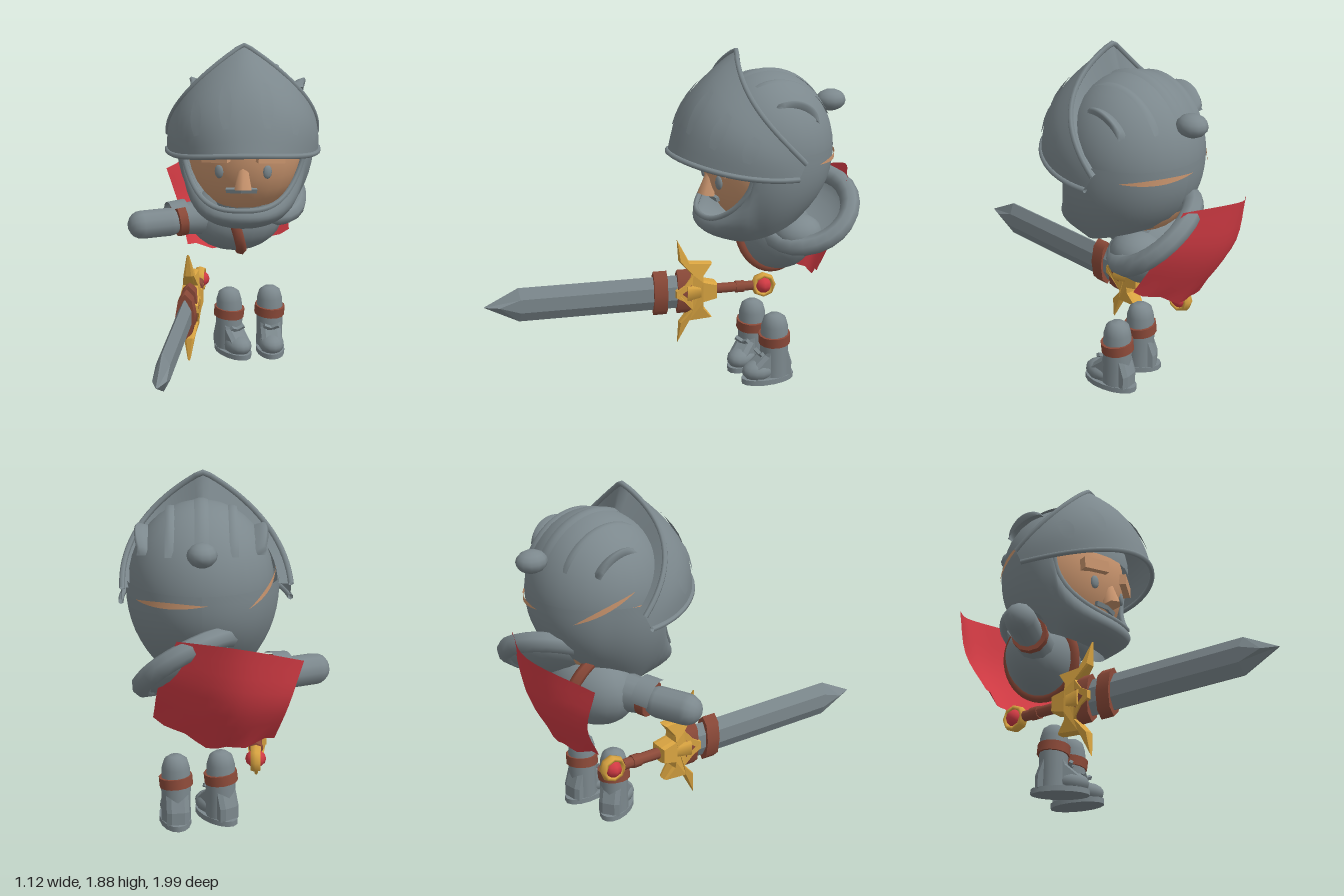
import * as THREE from 'three';

const mat = (name, color) => {
  const m = new THREE.MeshStandardMaterial({ color, side: THREE.DoubleSide });
  m.name = name;
  return m;
};
const V = (x, y, z) => new THREE.Vector3(x, y, z);

// Surface from a rule: f(u, v) with u and v in 0..1
function grid(nu, nv, f) {
  const pos = [], idx = [];
  for (let j = 0; j <= nv; j++) for (let i = 0; i <= nu; i++) pos.push(...f(i / nu, j / nv).toArray());
  for (let j = 0; j < nv; j++) for (let i = 0; i < nu; i++) {
    const a = j * (nu + 1) + i, b = a + 1, c = a + nu + 1, d = c + 1;
    idx.push(a, b, d, a, d, c);
  }
  const g = new THREE.BufferGeometry();
  g.setAttribute('position', new THREE.Float32BufferAttribute(pos, 3));
  g.setIndex(idx);
  g.computeVertexNormals();
  return g;
}

// Side profile given as [z, y] points, extruded evenly about x = 0
function sideExtrude(points, depth, bevelThickness, bevelSize) {
  const g = new THREE.ExtrudeGeometry(new THREE.Shape(points.map(p => new THREE.Vector2(...p))),
    { depth, bevelThickness, bevelSize, bevelSegments: 1 });
  return g.translate(0, 0, -depth / 2).rotateY(-Math.PI / 2);
}

const tube = (points, r, closed = false) =>
  new THREE.TubeGeometry(new THREE.CatmullRomCurve3(points, closed), 40, r, 6, closed);

export function createModel() {
  const steel = mat('steel grey', 0x7c888d), skin = mat('skin', 0xcb966f);
  const leather = mat('brown leather', 0x8c4a39), gold = mat('gold', 0xd9a441);
  const red = mat('red', 0xd23b44);
  const root = new THREE.Group();
  const group = (name, parent = root) => {
    const g = new THREE.Group();
    g.name = name;
    parent.add(g);
    return g;
  };
  const add = (parent, name, geo, material, p = [0, 0, 0], r = [0, 0, 0], s = [1, 1, 1]) => {
    const m = new THREE.Mesh(geo, material);
    m.name = name;
    m.position.set(...p); m.rotation.set(...r); m.scale.set(...s);
    parent.add(m);
  };
  const ball = (w = 16, h = 12) => new THREE.SphereGeometry(1, w, h);
  const rad = Math.PI / 180;

  // ---- Head, turned slightly to its right
  const head = group('head');
  head.position.set(0.14, 1.35, -0.42);
  head.rotation.y = -0.2;
  add(head, 'face', ball(24, 16), skin, [-0.01, -0.05, 0], [0, 0, 0], [0.34, 0.42, 0.345]);
  add(head, 'nose', new THREE.CylinderGeometry(0.025, 0.055, 0.15, 6), skin, [-0.01, -0.19, 0.315], [-0.2, 0, 0]);
  for (const s of [-1, 1]) {
    add(head, 'eyebrow', new THREE.BoxGeometry(0.16, 0.065, 0.06), skin, [s * 0.15 - 0.01, -0.075, 0.31], [0, s * 0.4, s * -0.08]);
    add(head, 'eye', ball(8, 6), steel, [s * 0.135 - 0.01, -0.165, 0.305], [0, s * 0.4, 0], [0.027, 0.04, 0.015]);
    add(head, 'moustache', new THREE.BoxGeometry(0.09, 0.026, 0.02), steel, [s * 0.042 - 0.02, -0.275, 0.298], [0.3, s * 0.15, s * -0.1]);
  }

  // Helmet dome, ribs, knob and the slits at the back
  const helmet = group('helmet', head);
  add(helmet, 'dome', new THREE.SphereGeometry(1, 28, 10, 0, 2 * Math.PI, 0, Math.PI / 2), steel,
    [0, 0, 0], [0, 0, 0], [0.37, 0.41, 0.37]);
  const rib = (x, w, a0, a1, lift) => add(helmet, 'domeRib', grid(4, 16, (u, v) => {
    const a = (a0 + (a1 - a0) * v) * rad, k = Math.sqrt(1 - (x / 0.37) ** 2);
    const l = 1 + lift * Math.sin(Math.PI * u) * Math.sin(Math.PI * v) ** 0.5;
    return V((x + (u - 0.5) * w) * l, 0.41 * k * Math.sin(a) * l, 0.37 * k * Math.cos(a) * l);
  }), steel);
  rib(0, 0.07, 50, 155, 0.025);
  for (const s of [-1, 1]) {
    rib(s * 0.15, 0.06, 70, 150, 0.03);
    rib(s * 0.28, 0.08, 80, 140, 0.16);
  }
  for (const [a0, a1, y0, y1] of [[120, 184, -0.05, -0.035], [-92, -142, 0.09, -0.07]]) {
    add(helmet, 'backSlit', grid(12, 1, (u, v) => {
      const a = (a0 + (a1 - a0) * u) * rad, y = y0 + (y1 - y0) * u;
      return V(0.379 * Math.sin(a), y + (v - 0.5) * 0.032 * Math.sin(Math.PI * u), 0.379 * Math.cos(a));
    }), skin);
  }
  add(helmet, 'knob', ball(12, 8), steel, [0, 0.22, -0.38], [0, 0, 0], [0.075, 0.06, 0.085]);

  // Neck and jaw guard, cut open in a U around the face
  const jaw = (phi, v) => {
    const open = Math.max(0, 1 - Math.abs(phi / (60 * rad)) ** 3), c = Math.cos(phi);
    const front = Math.max(0, Math.cos(phi * 0.8));
    const top = -0.385 * open + 0.01, bottom = -0.435 - 0.085 * c;
    const r = 0.37 - 0.14 * v ** 2.5 + 0.03 * open * Math.sin(Math.PI * v);
    const recess = 0.2 * open * (1 - open) * (1 - v);
    return V(r * Math.sin(phi) * (1 + 0.19 * front) - 0.02 * front, top + (bottom - top) * v, r * c - recess);
  };
  add(helmet, 'jawGuard', grid(56, 8, (u, v) => jaw((u * 2 - 1) * Math.PI, v)), steel);
  add(helmet, 'jawRim', tube(Array.from({ length: 25 }, (_, i) => jaw((i / 12 - 1) * 62 * rad, 0)), 0.016), steel);
  add(helmet, 'neck', ball(12, 8), steel, [0, -0.4, -0.02], [0, 0, 0], [0.2, 0.12, 0.2]);

  // Raised visor with a pointed peak, closed back onto the dome
  const visor = group('visor', helmet);
  visor.position.x = -0.025;
  visor.rotation.y = 0.08;
  const visorAt = (phi, v, lift = 0) => {
    const s = Math.sin(phi), c = Math.cos(phi), a = Math.abs(phi);
    const low = V(0.435 * s, -0.02 - 0.08 * s * s, 0.55 * c - 0.01);
    const high = V(0.43 * s, 0.52 - 0.54 * (a / (Math.PI / 2)) ** 1.15, 0.22 * c - 0.05 + 0.08 * Math.sin(2 * a));
    const b = 0.06 * Math.sin(Math.PI * v) * c;
    return low.lerp(high, v).add(V(b * s * 0.5 + lift * s, b * 0.5 + lift * 0.4, b + lift * c));
  };
  const arc = v => Array.from({ length: 25 }, (_, i) => visorAt((i / 12 - 1) * Math.PI / 2, v));
  add(visor, 'visorShell', grid(32, 8, (u, v) => visorAt((u * 2 - 1) * Math.PI / 2, v)), steel);
  add(visor, 'visorLining', grid(32, 2, (u, v) => {
    const p = visorAt((u * 2 - 1) * Math.PI / 2, 1);
    const onDome = p.clone().divideScalar(Math.hypot(p.x / 0.365, p.y / 0.405, p.z / 0.365));
    return p.lerp(onDome, v);
  }), steel);
  for (const v of [0, 1]) add(visor, 'visorRim', tube(arc(v), 0.015), steel);
  for (const deg of [-58, -36, -14, 14, 36, 58]) {
    add(visor, 'visorSlot', grid(2, 4, (u, v) =>
      visorAt((deg + (u - 0.5) * 9 * Math.sin(Math.PI * (0.15 + 0.7 * v))) * rad, 0.25 + 0.45 * v, 0.008)), steel);
  }

  // ---- Body
  const body = group('body');
  add(body, 'torso', ball(20, 14), steel, [0.09, 0.82, -0.52], [0, 0, 0], [0.28, 0.21, 0.2]);
  add(body, 'leftShoulder', ball(), steel, [0.3, 0.86, -0.54], [0, 0, 0], [0.14, 0.11, 0.14]);
  const strap = Array.from({ length: 16 }, (_, i) => {
    const a = i / 8 * Math.PI;
    return V(0.055 - 0.06 * Math.sin(a), 0.82 + 0.205 * Math.sin(a), -0.52 + 0.2 * Math.cos(a));
  });
  add(body, 'chestStrap', tube(strap, 0.034, true), leather);

  // Open collar drooping over the left shoulder
  const collar = group('shoulderCollar', body);
  collar.position.set(0.26, 0.98, -0.62);
  collar.rotation.set(0.6, 0, -0.38);
  add(collar, 'collarRim', new THREE.TorusGeometry(0.25, 0.055, 8, 24), steel, [0, 0, 0], [Math.PI / 2, 0, 0]);
  add(collar, 'collarBowl', new THREE.SphereGeometry(1, 20, 6, 0, 2 * Math.PI, Math.PI / 2, Math.PI / 2), steel,
    [0, 0, 0], [0, 0, 0], [0.26, 0.1, 0.25]);

  // Right arm, with a plate over the top of the cuff
  const arm = group('rightArm', body);
  arm.position.set(-0.25, 0.83, -0.45);
  arm.rotation.y = 0.2;
  add(arm, 'sleeve', new THREE.CylinderGeometry(0.09, 0.12, 0.26, 12), steel, [0.13, 0, 0], [0, 0, Math.PI / 2]);
  add(arm, 'cuff', new THREE.CylinderGeometry(0.1, 0.1, 0.05, 12), leather, [0, 0, 0], [0, 0, Math.PI / 2 + 0.1]);
  add(arm, 'cuffPlate', new THREE.CylinderGeometry(0.112, 0.112, 0.1, 12, 1, true, 0.9, 2.2), steel,
    [-0.01, 0, 0], [0, 0, Math.PI / 2 + 0.1]);
  add(arm, 'gauntlet', new THREE.CapsuleGeometry(0.084, 0.16, 5, 12), steel, [-0.15, -0.01, 0], [0, 0, Math.PI / 2]);

  // Cape blended between three columns, with a ragged hem
  const columns = [[V(-0.28, 1.03, -0.87), V(-0.21, 0.8, -0.86), V(-0.17, 0.58, -0.74)],
    [V(0.07, 1.15, -0.99), V(0.1, 0.85, -0.92), V(0.13, 0.55, -0.74)],
    [V(0.35, 1.16, -0.83), V(0.42, 0.93, -0.74), V(0.43, 0.69, -0.6)]]
    .map(c => new THREE.CatmullRomCurve3(c));
  add(body, 'cape', grid(12, 8, (u, v) => {
    const p = new THREE.CatmullRomCurve3(columns.map(c => c.getPoint(v))).getPoint(u);
    if (v === 1) p.y += 0.012 * Math.sin(u * 19);
    return p;
  }), red);

  // ---- Legs
  const shin = new THREE.LatheGeometry([[0.08, 0.02], [0.078, 0.14], [0.08, 0.24], [0.075, 0.33], [0.062, 0.375], [0.035, 0.395], [0, 0.4]]
    .map(p => new THREE.Vector2(...p)), 14);
  const instep = sideExtrude([[-0.08, 0.03], [0.13, 0.03], [0.13, 0.1], [0.06, 0.16], [0.05, 0.19], [-0.05, 0.19], [-0.08, 0.1]],
    0.07, 0.025, 0.015);
  for (const [name, x, yaw] of [['rightLeg', 0.035, 0.4], ['leftLeg', 0.28, -0.06]]) {
    const leg = group(name);
    leg.position.set(x, 0, -0.42);
    leg.rotation.y = yaw;
    add(leg, 'shin', shin, steel);
    add(leg, 'instep', instep, steel);
    add(leg, 'toeCap', ball(14, 10), steel, [0, 0.07, 0.1], [0, 0, 0], [0.075, 0.06, 0.095]);
    add(leg, 'sole', new THREE.CylinderGeometry(1, 1, 0.03, 16), steel, [0, 0.02, 0.04], [0, 0, 0], [0.085, 1, 0.16]);
    add(leg, 'bootBand', new THREE.CylinderGeometry(0.09, 0.09, 0.055, 14), leather, [0, 0.255, 0], [0.08, 0, -0.08]);
    for (const s of [-1, 1]) {
      add(leg, 'bootFlap', new THREE.BoxGeometry(0.1, 0.02, 0.02), steel, [0, 0.16, 0.085], [0.5, 0, s * 0.5]);
    }
  }

  // ---- Sword, pointing forward
  const sword = group('sword');
  sword.position.set(-0.272, 0.41, 0);
  sword.rotation.y = -0.264;
  add(sword, 'blade', sideExtrude([[-0.14, -0.04], [0.83, -0.04], [0.95, 0], [0.83, 0.04], [-0.14, 0.04]], 0.008, 0.032, 0.06), steel);
  for (const z of [0.02, -0.12]) {
    add(sword, 'bladeBand', new THREE.CylinderGeometry(1, 1, 0.08, 8), leather, [0, 0, z], [Math.PI / 2, 0, 0], [0.055, 1, 0.135]);
  }
  // Cross guard, thinning toward its points
  const wing = [[-0.31, 0.04], [-0.23, 0.06], [-0.23, 0.1], [-0.28, 0.165], [-0.15, 0.175], [-0.085, 0.31],
    [-0.1, 0.19], [-0.17, 0.11], [-0.12, 0.05], [-0.07, 0.02]];
  const guard = sideExtrude([...wing, ...wing.map(([z, y]) => [z, -y]).reverse()], 0.06, 0.025, 0.006);
  const gp = guard.attributes.position;
  for (let i = 0; i < gp.count; i++) gp.setX(i, gp.getX(i) * Math.max(0.08, 1.15 - Math.abs(gp.getY(i)) / 0.31));
  guard.computeVertexNormals();
  add(sword, 'crossGuard', guard, gold);
  add(sword, 'guardBoss', new THREE.CylinderGeometry(0.075, 0.04, 0.17, 6), gold, [0, 0, -0.22], [Math.PI / 2, 0, 0]);
  add(sword, 'grip', new THREE.CylinderGeometry(0.032, 0.03, 0.24, 8), leather, [0, 0, -0.42], [Math.PI / 2, 0, 0]);
  add(sword, 'gripWrap', new THREE.CylinderGeometry(0.037, 0.037, 0.05, 8), leather, [0, 0, -0.46], [Math.PI / 2, 0, 0]);
  add(sword, 'pommelRing', new THREE.TorusGeometry(0.06, 0.016, 6, 8), gold, [0, 0, -0.605], [0, Math.PI / 2, 0], [1, 1, 1.9]);
  add(sword, 'pommelGem', ball(8, 6), red, [0, 0, -0.605], [0, 0, 0], [0.055, 0.05, 0.05]);
  return root;
}
